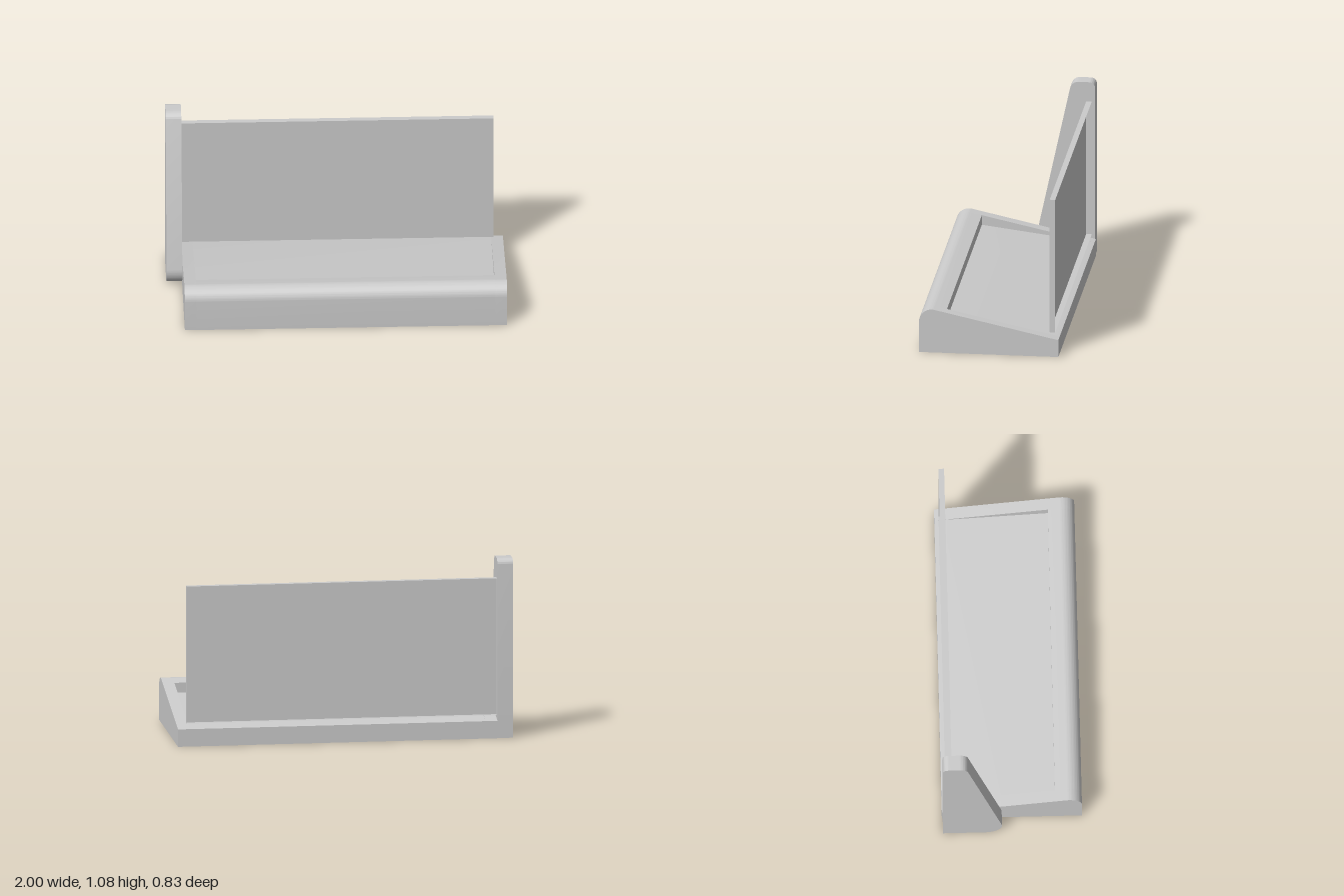
import * as THREE from 'three';
import { toCreasedNormals } from 'three/addons/utils/BufferGeometryUtils.js';

const material = new THREE.MeshStandardMaterial({ color: 0xcccccc });
const thinMaterial = new THREE.MeshStandardMaterial({ color: 0xcccccc, side: THREE.DoubleSide });

// Extrude a profile drawn in (z, y) along x, from x0 to x1
function extrudeX(name, shape, x0, x1) {
  let g = new THREE.ExtrudeGeometry(shape, { depth: x1 - x0, bevelEnabled: false, curveSegments: 16 });
  g.rotateY(-Math.PI / 2); // shape x -> z, depth -> -x
  g.translate(x1, 0, 0);
  g = toCreasedNormals(g, 0.5);
  const mesh = new THREE.Mesh(g, material);
  mesh.name = name;
  return mesh;
}

const TILT = 0.2136; // slope angle of the base top
const BACK = -0.414, FRONT = 0.415, R = 0.075;
const slopeY = (z) => 0.105 + (z - BACK) * Math.tan(TILT);

// Wedge profile with a rounded front; optionally cut by the shallow tray
function baseProfile(withTray) {
  const s = new THREE.Shape();
  s.moveTo(BACK, 0);
  s.lineTo(FRONT, 0);
  s.absarc(FRONT - R, slopeY(FRONT - R) - R / Math.cos(TILT), R, 0, Math.PI / 2 + TILT, false);
  if (withTray) {
    s.lineTo(0.257, slopeY(0.257));
    s.lineTo(0.257, slopeY(0.257) - 0.06);
    s.lineTo(-0.395, slopeY(-0.395));
  }
  s.lineTo(BACK, slopeY(BACK));
  s.closePath();
  return s;
}

// Tapered upright with rounded corners
function uprightProfile() {
  const s = new THREE.Shape(), lean = 0.22;
  s.moveTo(-0.409, 0);
  s.lineTo(-0.165, 0);
  s.absarc(-0.165, 0.105, 0.105, -Math.PI / 2, lean, false);
  s.absarc(-0.309, 1.03, 0.05, lean, Math.PI / 2, false);
  s.absarc(-0.374, 1.045, 0.035, Math.PI / 2, Math.PI, false);
  s.closePath();
  return s;
}

// Shallow panel: a front sheet with a thin rim turned back, open behind
function backPanel(x0, x1, y0, y1, zFront, depth) {
  const group = new THREE.Group();
  group.name = 'backPanel';
  const w = x1 - x0, h = y1 - y0, cx = (x0 + x1) / 2, cy = (y0 + y1) / 2;
  const sheet = (name, sx, sy, x, y, z, rx, ry) => {
    const mesh = new THREE.Mesh(new THREE.PlaneGeometry(sx, sy), thinMaterial);
    mesh.name = name;
    mesh.position.set(x, y, z);
    mesh.rotation.set(rx, ry, 0);
    group.add(mesh);
  };
  const zMid = zFront - depth / 2, q = Math.PI / 2;
  sheet('panelFace', w, h, cx, cy, zFront, 0, 0);
  sheet('panelTopRim', w, depth, cx, y1, zMid, -q, 0);
  sheet('panelBottomRim', w, depth, cx, y0, zMid, q, 0);
  sheet('panelLeftRim', depth, h, x1, cy, zMid, 0, q);
  sheet('panelRightRim', depth, h, x0, cy, zMid, 0, -q);
  return group;
}

export function createModel() {
  const model = new THREE.Group();
  model.name = 'panelStand';

  // Base: two solid ends and a tray section between them
  const base = new THREE.Group();
  base.name = 'base';
  base.add(
    extrudeX('baseRightEnd', baseProfile(false), -0.907, -0.837),
    extrudeX('baseTray', baseProfile(true), -0.837, 0.93),
    extrudeX('baseLeftEnd', baseProfile(false), 0.93, 1)
  );
  model.add(base);

  // Side upright
  model.add(extrudeX('sideUpright', uprightProfile(), -1, -0.907));

  // Panel held by the upright, just clear of the base
  model.add(backPanel(-0.907, 0.944, 0.134, 0.96, -0.356, 0.033));

  return model;
}
